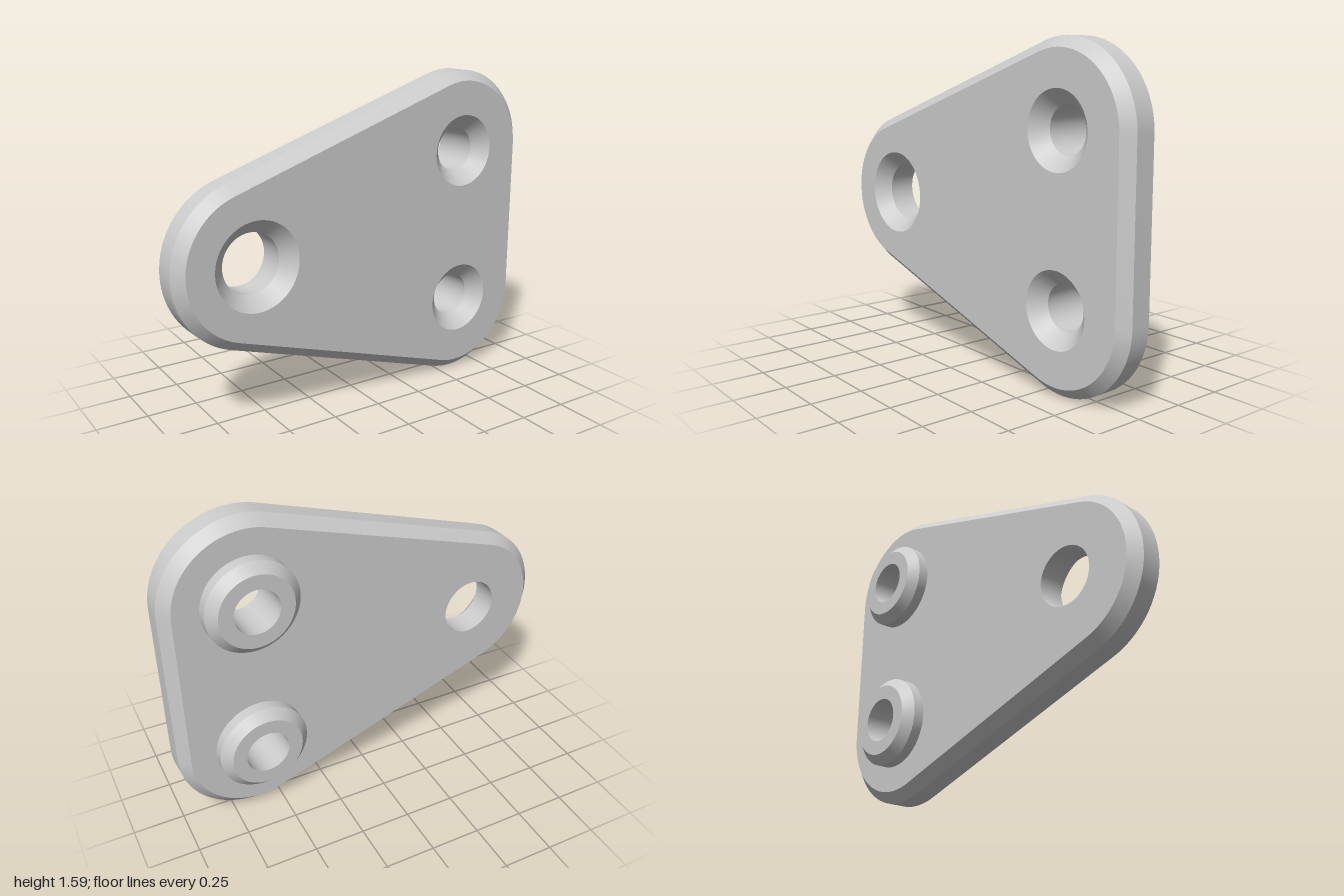
import * as THREE from 'three';
import { toCreasedNormals } from 'three/addons/utils/BufferGeometryUtils.js';

const HALF = 0.102;    // half the plate thickness
const BEVEL = 0.05;
const RADIUS = 0.4;    // corner radius of the plate
const ARC = 32;        // steps per corner arc
const TILT = 0.04;     // plate leans slightly about the vertical axis
const LEAN = Math.atan2(0.393, 1.2); // slope of the long edges

// Hole centres, also the centres of the rounded corners
const single = { x: -0.6, y: 0, hole: 0.145, sink: 0.213, opening: 0.145 };
const pair = [1, -1].map(s => ({ x: 0.6, y: 0.393 * s, hole: 0.11, sink: 0.18, opening: 0.225 }));
const holes = [single, ...pair];

// Rounded triangle, counter-clockwise, at a given corner radius
function outline(r) {
  const corners = [
    [pair[1], -Math.PI / 2 - LEAN, 0],
    [pair[0], 0, Math.PI / 2 + LEAN],
    [single, Math.PI / 2 + LEAN, Math.PI * 1.5 - LEAN],
  ];
  const points = [];
  for (const [c, from, to] of corners) {
    for (let i = 0; i <= ARC; i++) {
      const a = from + (to - from) * i / ARC;
      points.push(new THREE.Vector2(c.x + r * Math.cos(a), c.y + r * Math.sin(a)));
    }
  }
  return points;
}

// Rim: side wall with a bevel at front and back
function rimGeometry() {
  const loops = [
    [RADIUS - BEVEL, -HALF], [RADIUS, -HALF + BEVEL],
    [RADIUS, HALF - BEVEL], [RADIUS - BEVEL, HALF],
  ].map(([r, z]) => outline(r).map(p => [p.x, p.y, z]));
  const positions = [];
  for (let k = 0; k < loops.length - 1; k++) {
    const a = loops[k], b = loops[k + 1], n = a.length;
    for (let i = 0; i < n; i++) {
      const j = (i + 1) % n;
      positions.push(...a[i], ...a[j], ...b[j], ...a[i], ...b[j], ...b[i]);
    }
  }
  const geometry = new THREE.BufferGeometry();
  geometry.setAttribute('position', new THREE.Float32BufferAttribute(positions, 3));
  return toCreasedNormals(geometry, 0.5);
}

// Flat face with round openings
function faceGeometry(z, key, flip) {
  const shape = new THREE.Shape(outline(RADIUS - BEVEL));
  for (const h of holes) {
    shape.holes.push(new THREE.Path().absarc(h.x, h.y, h[key], 0, Math.PI * 2, true));
  }
  const geometry = new THREE.ShapeGeometry(shape, 32);
  if (flip) geometry.index.array.reverse();
  geometry.translate(0, 0, z);
  geometry.computeVertexNormals();
  return geometry;
}

// Turned surface about z; profile is [radius, distance toward the back]
function turned(profile, h) {
  const lathe = new THREE.LatheGeometry(profile.map(p => new THREE.Vector2(...p)), 64);
  lathe.rotateX(-Math.PI / 2).translate(h.x, h.y, 0);
  return toCreasedNormals(lathe, 0.5);
}

export function createModel() {
  const material = new THREE.MeshStandardMaterial({ color: 0xcccccc });
  const model = new THREE.Group();
  model.name = 'mountingPlate';
  const add = (name, geometry) => {
    const mesh = new THREE.Mesh(geometry, material);
    mesh.name = name;
    model.add(mesh);
  };

  add('plateRim', rimGeometry());
  add('frontFace', faceGeometry(HALF, 'sink', false));
  add('backFace', faceGeometry(-HALF, 'opening', true));

  // Countersunk bores; the pair continue through bevelled bosses at the back
  const bore = h => [[h.hole, h.hole - h.sink + HALF], [h.sink, -HALF]]
    .map(([r, d], i) => [r, i === 0 ? -HALF + (h.sink - h.hole) : d]);
  add('largeBore', turned([[single.hole, HALF], ...bore(single)], single));
  pair.forEach((h, i) => add(i ? 'lowerBoss' : 'upperBoss', turned([
    [0.225, HALF], [0.225, HALF + 0.055], [0.18, HALF + 0.1], [h.hole, HALF + 0.1],
    ...bore(h),
  ], h)));

  model.rotation.y = TILT;
  model.position.set(0, 0.793, 0.045);
  const root = new THREE.Group();
  root.name = 'bracket';
  root.add(model);
  return root;
}
